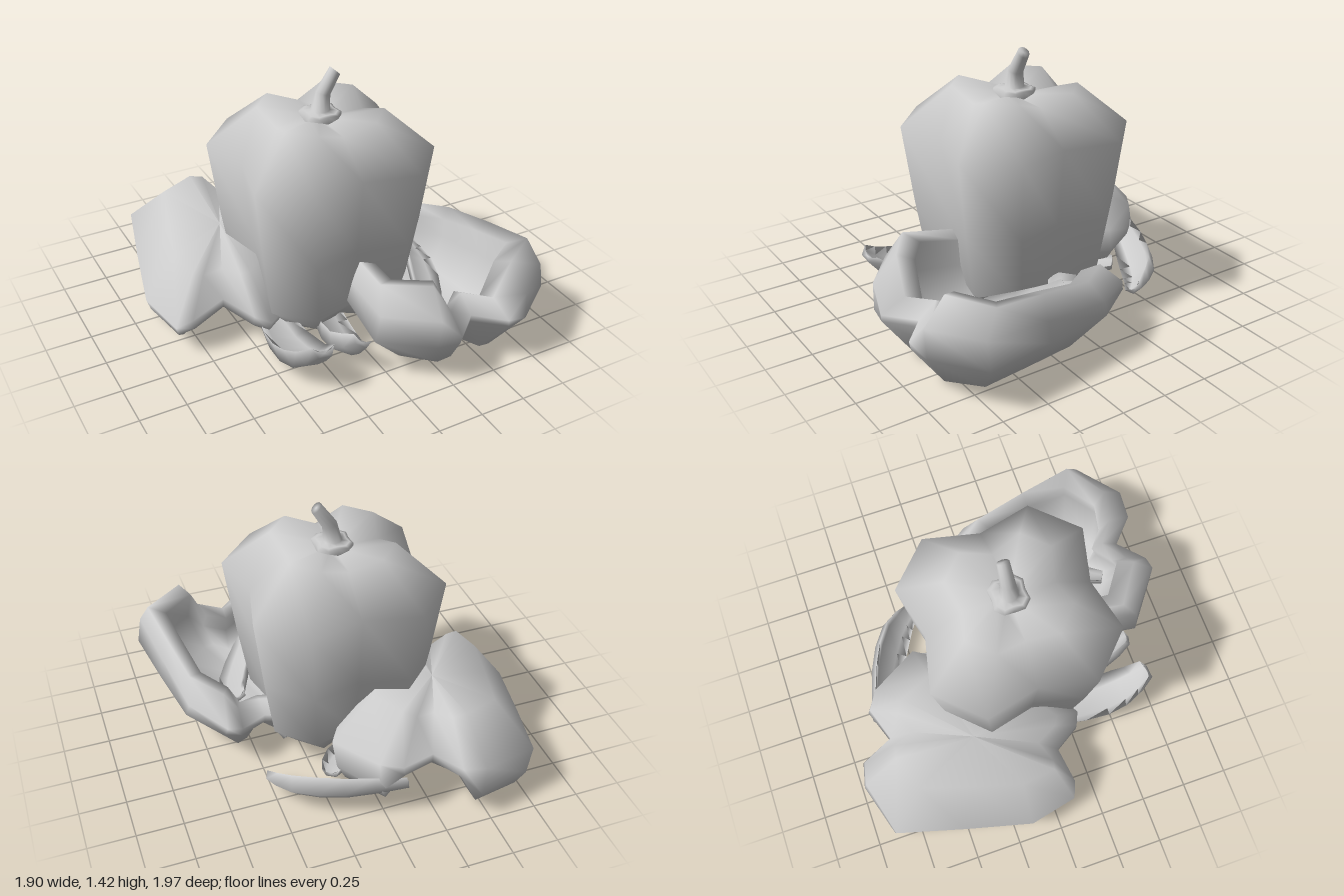
import * as THREE from 'three';

const material = new THREE.MeshStandardMaterial({ color: 0xcccccc, side: THREE.DoubleSide });

// Skin a list of equal-length rings of [x, y, z] points into a smooth surface
function loft(rings) {
  const n = rings[0].length, index = [];
  for (let i = 0; i < rings.length - 1; i++) {
    for (let j = 0; j < n; j++) {
      const a = i * n + j, b = i * n + (j + 1) % n, c = b + n, d = a + n;
      index.push(a, d, c, a, c, b);
    }
  }
  const g = new THREE.BufferGeometry();
  g.setAttribute('position', new THREE.Float32BufferAttribute(rings.flat(2), 3));
  g.setIndex(index);
  g.computeVertexNormals();
  return g;
}

function part(name, geometry) {
  const mesh = new THREE.Mesh(geometry, material);
  mesh.name = name;
  return mesh;
}

// Four-lobed whole pepper: each quarter is a valley point and two lobe corners
function pepperGeometry() {
  const outline = [];
  let quarter = [[0.45, 0], [0.52, 0.29], [0.30, 0.52]];
  for (let q = 0; q < 4; q++) {
    outline.push(...quarter);
    quarter = quarter.map(([x, z]) => [-z, x]);
  }
  // [scale, lobe height, valley height]
  const levels = [
    [0, 0.08, 0.08], [0.5, 0.01, 0.05], [0.8, 0.2, 0.2], [0.9, 0.55, 0.55],
    [1, 0.98, 0.98], [0.55, 1.2, 1.14], [0.15, 1.16, 1.14], [0, 1.15, 1.15],
  ];
  return loft(levels.map(([s, lobe, valley]) =>
    outline.map(([x, z], j) => [x * s, j % 3 ? lobe : valley, z * s])));
}

// Hollow half pepper, open at the top: wide end at z = 0, narrow end towards -z
function halfGeometry() {
  // [x, depth, rim height] along one side, from wide-end notch to narrow-end notch
  const side = [
    [0, 0, 0.36], [0.15, -0.13, 0.35], [0.27, -0.11, 0.53], [0.52, 0.08, 0.52], [0.47, 0.45, 0.48],
    [0.41, 0.83, 0.43], [0.25, 1.06, 0.41], [0.16, 1.05, 0.28], [0, 0.94, 0.24],
  ];
  const outline = [...side.map(([x, u, r]) => [-x, u, r]), ...side.slice(1, -1).reverse()];
  const mid = 0.45;
  // [x scale, depth scale, height from rim height]; outside first, then back down inside
  const levels = [
    [0, 0, () => 0.04],
    [0.6, 0.73, (r, x) => (Math.abs(x) > 0.2 ? 0.01 : 0.06 - 0.2 * Math.abs(x))],
    [1, 0.99, (r) => Math.min(0.24, r - 0.08)],
    [0.95, 1, (r) => Math.max(r - 0.13, Math.min(0.28, r - 0.03))],
    [0.87, 0.78, (r) => r],
    [0.69, 0.64, (r) => r - 0.03],
    [0.76, 0.72, (r) => r * 0.6],
    [0.5, 0.6, () => 0.11],
    [0, 0, () => 0.1],
  ];
  return loft(levels.map(([sx, su, h]) =>
    outline.map(([x, u, r]) => [x * sx, h(r, x), -(mid + (u - mid) * su)])));
}

// Curved strip of flesh: a thin gutter-shaped section swept along a path
function sliceGeometry(points, width, normal) {
  const curve = new THREE.CatmullRomCurve3(points.map((p) => new THREE.Vector3(...p)));
  const section = [[1, 0.5], [0.55, 0.2], [-0.55, 0.2], [-1, 0.5], [-0.6, -0.3], [0.6, -0.3]];
  const steps = 6, rings = [];
  for (let i = 0; i <= steps; i++) {
    const t = i / steps, p = curve.getPoint(t), tangent = curve.getTangent(t);
    const s = new THREE.Vector3().crossVectors(tangent, new THREE.Vector3(...normal)).normalize();
    const n = new THREE.Vector3().crossVectors(s, tangent);
    const w = width * (0.5 + 0.5 * Math.sin(Math.PI * t));
    const ring = section.map(([a, b]) =>
      p.clone().addScaledVector(s, a * w).addScaledVector(n, b * w).toArray());
    const cap = ring.map(() => p.toArray());
    if (i === 0) rings.push(cap);
    rings.push(ring);
    if (i === steps) rings.push(cap);
  }
  return loft(rings);
}

// Bent stalk growing out of a scalloped base
function stemGeometry() {
  // [x, y, radius, tilt]
  const levels = [
    [0, 1.14, 0.11, 0], [0, 1.18, 0.11, 0], [0, 1.185, 0.09, 0], [0, 1.19, 0.05, 0],
    [0.015, 1.28, 0.04, 0.3], [0.085, 1.39, 0.033, 0.75], [0.085, 1.39, 0, 0.75],
  ];
  return loft(levels.map(([cx, cy, r, tilt]) => Array.from({ length: 12 }, (_, j) => {
    const a = j / 12 * Math.PI * 2;
    const k = r * (r > 0.08 && j % 3 === 0 ? 0.8 : 1);
    const x = Math.cos(a) * k;
    return [cx + x * Math.cos(tilt), cy - x * Math.sin(tilt), Math.sin(a) * k];
  })));
}

export function createModel() {
  const model = new THREE.Group();
  model.name = 'peppers';

  // Whole pepper with its stem
  const whole = new THREE.Group();
  whole.name = 'wholePepper';
  whole.add(part('pepperBody', pepperGeometry()), part('stem', stemGeometry()));
  whole.position.z = 0.03;
  model.add(whole);

  // Half lying open side up, and a second one turned over behind
  const half = halfGeometry();
  const upturned = part('openHalf', half);
  upturned.position.set(0.43, 0, 0.865);
  const overturned = part('overturnedHalf', half);
  overturned.position.set(-0.275, 0.54, -0.73);
  overturned.rotation.set(-0.135, 2.75, Math.PI, 'YXZ');
  model.add(upturned, overturned);

  // Loose slices: [name, path, half width, facing]
  const slices = [
    ['frontOuterSlice', [[-0.36, 0.25, 0.75], [-0.39, 0.12, 0.6], [-0.39, 0.06, 0.35], [-0.32, 0.06, -0.1]], 0.13, [0.2, 1, 0.4]],
    ['frontInnerSlice', [[-0.13, 0.21, 0.72], [-0.15, 0.09, 0.57], [-0.1, 0.05, 0.3], [0.02, 0.06, -0.1]], 0.11, [0.5, 1, 0.3]],
    ['backSlice', [[0.51, 0.09, -0.42], [0.41, 0.1, -0.55], [0.18, 0.12, -0.68], [-0.12, 0.17, -0.79]], 0.11, [-0.4, 0.7, 0.7]],
    ['underSlice', [[0.2, 0.08, -0.5], [0.1, 0.06, -0.4], [-0.05, 0.06, -0.35], [-0.3, 0.1, -0.45]], 0.1, [0, 1, 0.3]],
    ['lowerSlice', [[0.28, 0.07, -0.12], [0.26, 0.08, 0.1], [0.2, 0.08, 0.35], [0.12, 0.07, 0.62]], 0.12, [0, -1, 0]],
    ['innerSlice', [[0.53, 0.26, 0.06], [0.52, 0.2, 0.2], [0.42, 0.17, 0.45], [0.28, 0.2, 0.72]], 0.09, [0.5, 1, 0]],
  ];
  for (const [name, path, width, facing] of slices) {
    model.add(part(name, sliceGeometry(path, width, facing)));
  }
  return model;
}
